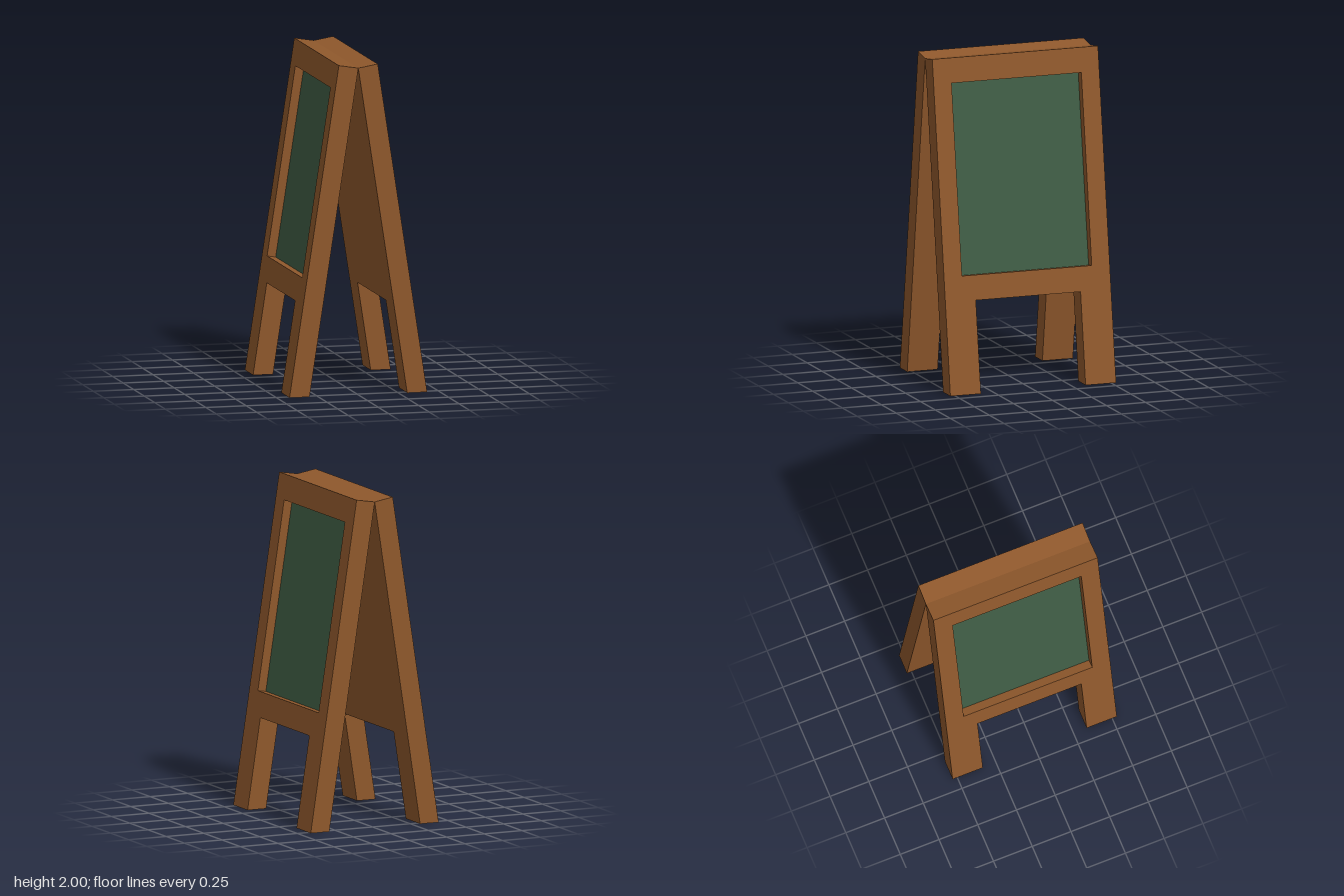
import * as THREE from 'three';

const wood = new THREE.MeshStandardMaterial({ color: 0x8f582c });
wood.name = 'wood';
const chalkGreen = new THREE.MeshStandardMaterial({ color: 0x3f5d45 });
chalkGreen.name = 'chalkGreen';

const W = 0.53; // half width of a panel
const H = 2; // height of the outer face
const LEG = 0.335; // half width of the gap between the legs
const RAIL = 0.555; // underside of the bottom rail
const BOARD = { w: 0.415, y0: 0.705, y1: 1.85 };
const FLOOR = 0.56; // recess floor, 0 = inner face, 1 = outer face

// Closed outline from corner pairs
const outline = (pts) => pts.map(([x, y]) => new THREE.Vector2(x, y));
const boardRect = () => outline([
  [-BOARD.w, BOARD.y0], [BOARD.w, BOARD.y0], [BOARD.w, BOARD.y1], [-BOARD.w, BOARD.y1],
]);

// Extrude between two depths, then lean the slab so it tilts toward the ridge
function leaningSlab(name, shape, from, to, material) {
  const geo = new THREE.ExtrudeGeometry(shape, { depth: to - from, bevelEnabled: false });
  const p = geo.attributes.position;
  for (let i = 0; i < p.count; i++) {
    const c = p.getZ(i) + from;
    const drop = 0.02 * (1 - c);
    const b = p.getY(i) === 0 ? drop : p.getY(i); // feet are cut level with the ground
    p.setXYZ(i, 0.305 - 0.1525 * b + 0.12 * c, b - drop, -p.getX(i));
  }
  geo.computeVertexNormals();
  const mesh = new THREE.Mesh(geo, material);
  mesh.name = name;
  return mesh;
}

function makePanel(name) {
  const panel = new THREE.Group();
  panel.name = name;

  // Frame with two legs and an opening for the board
  const frame = new THREE.Shape(outline([
    [-W, 0], [-LEG, 0], [-LEG, RAIL], [LEG, RAIL], [LEG, 0], [W, 0], [W, H], [-W, H],
  ]));
  frame.holes.push(new THREE.Path(boardRect().reverse()));
  panel.add(leaningSlab('frame', frame, 0, 1, wood));

  // Wooden backing flush with the inner face, and the writing surface on it
  const rect = new THREE.Shape(boardRect());
  panel.add(leaningSlab('backing', rect, 0, FLOOR - 0.03, wood));
  panel.add(leaningSlab('chalkboard', rect, FLOOR - 0.03, FLOOR, chalkGreen));
  return panel;
}

export function createModel() {
  const model = new THREE.Group();
  model.name = 'sandwichBoard';
  const left = makePanel('leftPanel');
  const right = makePanel('rightPanel');
  right.rotation.y = Math.PI;
  model.add(left, right);
  return model;
}
